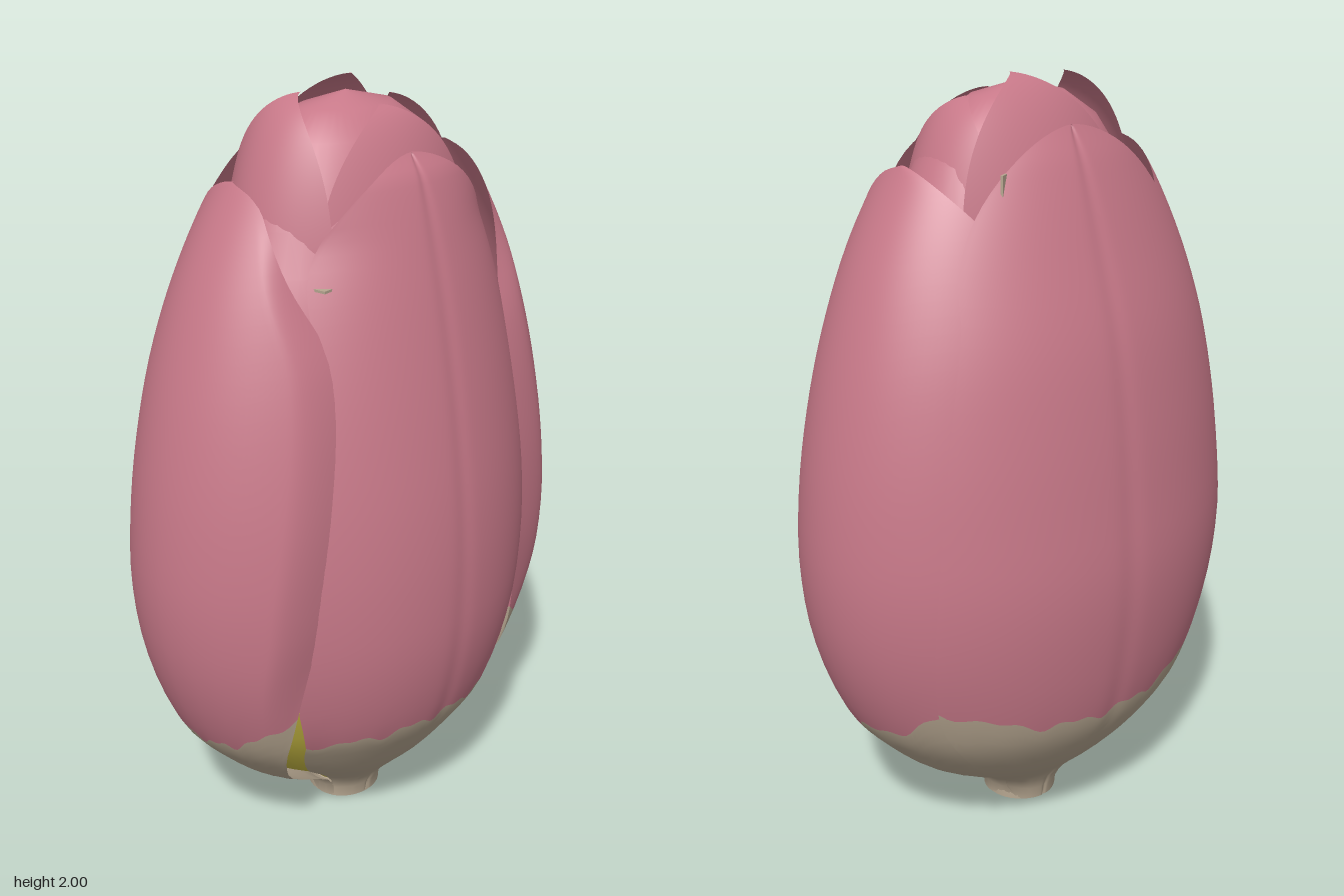
import * as THREE from 'three';

const mat = (name, color) => {
  const m = new THREE.MeshStandardMaterial({ color, side: THREE.DoubleSide });
  m.name = name;
  return m;
};

// smooth curve through [y, value] pairs
function curve(pts) {
  const n = pts.length;
  const slope = i => {
    const a = pts[Math.max(0, i - 1)], b = pts[Math.min(n - 1, i + 1)];
    return (b[1] - a[1]) / (b[0] - a[0]);
  };
  return y => {
    if (y <= pts[0][0]) return pts[0][1];
    if (y >= pts[n - 1][0]) return pts[n - 1][1];
    let i = 0;
    while (y > pts[i + 1][0]) i++;
    const h = pts[i + 1][0] - pts[i][0], t = (y - pts[i][0]) / h, t2 = t * t, t3 = t2 * t;
    return (2 * t3 - 3 * t2 + 1) * pts[i][1] + (t3 - 2 * t2 + t) * h * slope(i)
      + (3 * t2 - 2 * t3) * pts[i + 1][1] + (t3 - t2) * h * slope(i + 1);
  };
}

// rounded narrowing of a petal from height y0 to its tip
const tip = (y, y0, top, p = 1.8, q = 0.6) =>
  y <= y0 ? 1 : Math.pow(Math.max(0, 1 - Math.pow((y - y0) / (top - y0), p)), q);

// overall bud outline: half width, front depth and back depth by height
const rx = curve([[0, .1], [.05, .11], [.1, .17], [.2, .34], [.3, .45], [.4, .53], [.6, .605], [.8, .633],
  [1, .625], [1.2, .595], [1.4, .545], [1.6, .47], [1.8, .36], [1.9, .28]]);
const zFront = curve([[0, .09], [.05, .1], [.1, .14], [.2, .235], [.3, .31], [.4, .37], [.6, .42], [.8, .433],
  [1, .425], [1.2, .4], [1.4, .365], [1.6, .32], [1.8, .26], [1.86, .22]]);
const zBack = curve([[0, .11], [.05, .12], [.1, .15], [.2, .25], [.3, .33], [.4, .38], [.6, .42], [.8, .435],
  [1, .422], [1.2, .4], [1.4, .365], [1.6, .305], [1.8, .235], [1.89, .19]]);

const ragged = s => .01 * Math.sin(s * 15) + .007 * Math.sin(s * 29 + 1);

// petal sheet: point(s, y) with s from -1 to 1; pale below the line edge(s), pink above
function petal(name, point, bottom, top, edge, mats) {
  const cols = 64, low = edge ? 12 : 0, high = 36, pos = [], index = [];
  for (let r = 0; r <= low + high; r++)
    for (let c = 0; c <= cols; c++) {
      const s = -1 + 2 * c / cols, b = edge ? edge(s) : bottom;
      const y = r < low ? bottom + (b - bottom) * r / low
        : b + (top - b) * Math.sin((r - low) / high * Math.PI / 2);
      pos.push(...point(s, y));
    }
  for (let r = 0; r < low + high; r++)
    for (let c = 0; c < cols; c++) {
      const a = r * (cols + 1) + c, d = a + cols + 1;
      index.push(a, a + 1, d + 1, a, d + 1, d);
    }
  const g = new THREE.BufferGeometry();
  g.setAttribute('position', new THREE.Float32BufferAttribute(pos, 3));
  g.setIndex(index);
  g.addGroup(0, low * cols * 6, 0);
  g.addGroup(low * cols * 6, high * cols * 6, 1);
  g.computeVertexNormals();
  const mesh = new THREE.Mesh(g, mats);
  mesh.name = name;
  return mesh;
}

export function createModel() {
  const group = new THREE.Group();
  const pink = mat('petal pink', 0xc87989);
  const tan = mat('pale base', 0xb7a791);
  const yellow = mat('inner yellow', 0xc4b642);
  const mats = [tan, pink];
  const crease = s => .004 * Math.exp(-Math.pow(s * 14, 2));

  // front petal
  const wFront = curve([[0, .09], [.05, .095], [.1, .135], [.2, .245], [.3, .31], [.4, .35], [.5, .382], [.7, .408],
    [.8, .4], [1, .365], [1.2, .335], [1.4, .325], [1.55, .315]]);
  group.add(petal('frontPetal', (s, y) => {
    const w = wFront(y), x = w * s * tip(y, 1.54, 1.86), R = Math.max(.82 * rx(y), w * 1.12);
    return [x, y, zFront(y) * Math.sqrt(1 - (x / R) ** 2) - crease(s)];
  }, 0, 1.86, s => .405 - .03 * s * s + ragged(s), mats));

  // back petal
  const wBack = curve([[0, .07], [.1, .13], [.2, .25], [.4, .42], [.55, .475], [.8, .49], [1.2, .44], [1.5, .37]]);
  group.add(petal('backPetal', (s, y) => {
    const x = wBack(y) * s * tip(y, 1.5, 1.89), R = rx(y);
    return [-x, y, -(zBack(y) + .002) * Math.sqrt(1 - (x / R) ** 2) + crease(s)];
  }, 0, 1.89, s => .41 + .11 * Math.abs(s) ** 2.5 + ragged(s), mats));

  // side petals: front edge curls inward, back edge tucks under the back petal
  const zEdge = curve([[0, .045], [.05, .05], [.2, .115], [.4, .225], [.6, .28], [.8, .315], [1.1, .325],
    [1.4, .285], [1.6, .19], [1.75, .11], [1.79, .06], [1.81, 0]]);
  const { smoothstep } = THREE.MathUtils;
  for (const side of [1, -1]) {
    group.add(petal(side > 0 ? 'leftPetal' : 'rightPetal', (s0, y) => {
      const s = s0 * side;
      const front = Math.asin(Math.min(.95, zEdge(y) / zFront(y)));
      const back = 1.15 * tip(y, 1.5, 1.81);
      const a = s < 0 ? -s * front : -s * back;
      const curl = Math.max(0, (-s - .82) / .18) ** 2 * smoothstep(y, .3, .7) * (1 - smoothstep(y, 1.45, 1.75));
      const tuck = .012 * Math.max(0, s) ** 2;
      return [side * rx(y) * Math.cos(a) * (1 - .15 * curl - tuck), y,
        (a > 0 ? zFront(y) : zBack(y)) * Math.sin(a) * (1 - .05 * curl - tuck)];
    }, 0, 1.81, s0 => {
      const s = s0 * side;
      return .4 + (s < 0 ? .12 * (-s) ** 3 : .11 * Math.min(1, s / .6) ** 2) + ragged(s);
    }, mats));
  }

  // inner petals: [name, facing, depth below, depth at tip, half width, top, sideways lean, bend]
  const inner = [
    ['innerBackPetal', Math.PI, .26, .04, .28, 2.0, -.06, .3],
    ['innerLeftPetal', Math.PI / 2, .35, .14, .2, 1.95, 0, .6],
    ['innerRightPetal', -Math.PI / 2, .36, .14, .2, 1.985, 0, .6],
    ['innerFrontPetal', 0, .26, .09, .27, 1.95, .02, .3],
  ];
  for (const [name, turn, d0, d1, w, top, lean, bend] of inner) {
    group.add(petal(name, (s, y) => {
      const t = (y - 1.3) / (top - 1.3);
      const x = w * s * tip(y, 1.3, top, 4, .7);
      const d = d1 + (d0 - d1) * Math.sqrt(Math.max(0, 1 - t * t)) - bend * x * x / w;
      const l = x + lean * t;
      return [l * Math.cos(turn) + d * Math.sin(turn), y, d * Math.cos(turn) - l * Math.sin(turn)];
    }, 1.3, top, null, mats));
  }

  // bud core: yellow below, pink above
  const core = (name, pts, m) => {
    const mesh = new THREE.Mesh(new THREE.LatheGeometry(pts.map(p => new THREE.Vector2(...p)), 48), m);
    mesh.scale.z = .69;
    mesh.name = name;
    group.add(mesh);
  };
  const ring = k => y => [rx(y) * k, y];
  core('innerCup', [.02, .05, .1, .15, .2, .3, .4, .5].map(ring(.86)), yellow);
  core('innerBud', [...[.5, .7, .9, 1.1, 1.3, 1.5].map(ring(.81)), [.365, 1.6], [.325, 1.7], [.28, 1.8],
    [.22, 1.885], [.13, 1.945], [0, 1.975]], pink);

  // pale folds showing between the petal tips
  const fold = (size, position, turn) => {
    const mesh = new THREE.Mesh(new THREE.BoxGeometry(...size), tan);
    mesh.position.set(...position);
    mesh.rotation.y = turn;
    mesh.name = 'paleFold';
    group.add(mesh);
  };
  fold([.06, .1, .006], [.2, 1.75, -.192], .5);
  fold([.09, .006, .035], [-.25, 1.59, .215], .15);

  // stem stub
  const stem = new THREE.Mesh(new THREE.CylinderGeometry(.1, .1, .05, 32), tan);
  stem.position.set(0, .025, -.01);
  stem.name = 'stemStub';
  group.add(stem);

  return group;
}
